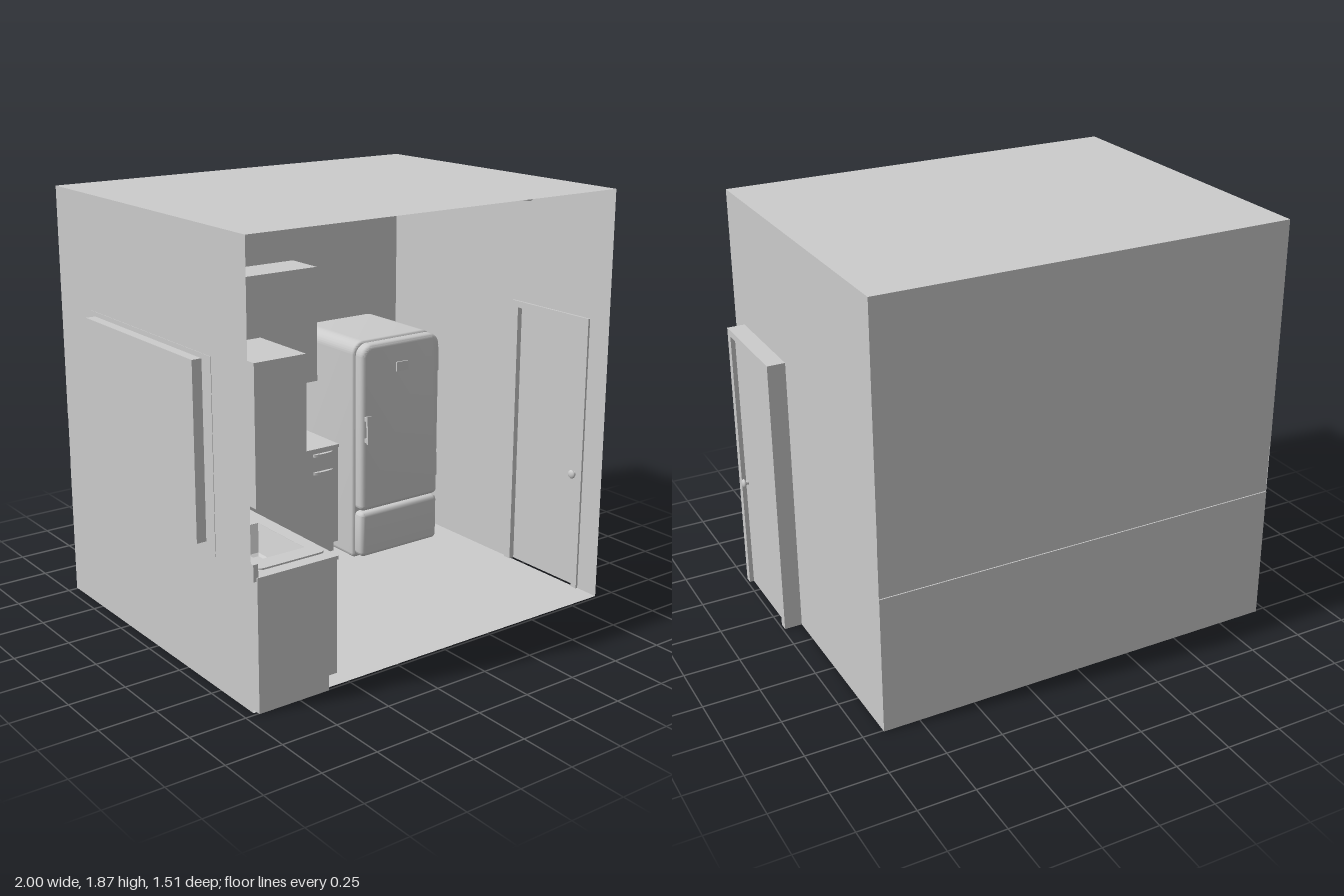
import * as THREE from 'three';
import { toCreasedNormals } from 'three/addons/utils/BufferGeometryUtils.js';

const grey = new THREE.MeshStandardMaterial({ color: 0xcccccc });
const thin = new THREE.MeshStandardMaterial({ color: 0xcccccc, side: THREE.DoubleSide });

function add(parent, name, geo, mat = grey) {
  const mesh = new THREE.Mesh(geo, mat);
  mesh.name = name;
  parent.add(mesh);
  return mesh;
}

// Box given by its limits on each axis
function box(parent, name, x0, x1, y0, y1, z0, z1) {
  const m = add(parent, name, new THREE.BoxGeometry(x1 - x0, y1 - y0, z1 - z0));
  m.position.set((x0 + x1) / 2, (y0 + y1) / 2, (z0 + z1) / 2);
  return m;
}

function cyl(parent, name, r0, r1, h, x, y, z, seg = 24) {
  const m = add(parent, name, new THREE.CylinderGeometry(r0, r1, h, seg));
  m.position.set(x, y, z);
  return m;
}

const poly = pts => new THREE.Shape(pts.map(p => new THREE.Vector2(...p)));
const rectPts = (x0, x1, y0, y1) => [[x0, y0], [x1, y0], [x1, y1], [x0, y1]];

// Rectangle with an optional rectangular hole
function rect(outer, hole) {
  const s = poly(rectPts(...outer));
  if (hole) s.holes.push(poly(rectPts(...hole)));
  return s;
}

// Rectangle with separate top and bottom corner radii
function rounded(x0, x1, y0, y1, rt, rb) {
  const s = new THREE.Shape();
  s.absarc(x1 - rb, y0 + rb, rb, -Math.PI / 2, 0);
  s.absarc(x1 - rt, y1 - rt, rt, 0, Math.PI / 2);
  s.absarc(x0 + rt, y1 - rt, rt, Math.PI / 2, Math.PI);
  s.absarc(x0 + rb, y0 + rb, rb, Math.PI, Math.PI * 1.5);
  return s;
}

const slab = (shape, depth) =>
  new THREE.ExtrudeGeometry(shape, { depth, bevelEnabled: false, curveSegments: 8 });

// Side shapes are drawn in (-z, y) and stand at x; plan shapes in (x, -z) and lie at y
const onSide = (geo, x) => geo.rotateY(Math.PI / 2).translate(x, 0, 0);
const onPlan = (geo, y) => geo.rotateX(-Math.PI / 2).translate(0, y, 0);

function buildRoom(g) {
  const [x0, x1, top, z0, z1] = [-0.955, 0.91, 1.865, -0.75, 0.735];
  const plan = () => new THREE.ShapeGeometry(rect([x0, x1, -z1, 0.755]));
  add(g, 'floor', onPlan(plan(), 0), thin);
  add(g, 'ceiling', onPlan(plan(), top), thin);
  add(g, 'leftWall', onSide(new THREE.ShapeGeometry(
    rect([-z1, 0.755, 0, top], [-0.485, 0.475, 0.565, 1.37])), x0), thin);
  add(g, 'rightWall', onSide(new THREE.ShapeGeometry(
    rect([-z1, 0.755, 0, top], [-0.6, -0.15, 0, 1.26])), x1), thin);
  // Back wall with a shallow band set in between counter and cupboards
  box(g, 'backWallLower', x0, x1, 0, 0.62, -0.757, z0);
  box(g, 'backWallBand', x0, x1, 0.62, 0.84, z0 - 0.002, z0);
  box(g, 'backWallUpper', x0, x1, 0.84, top, -0.757, z0);
}

function buildWindow(g) {
  add(g, 'windowCasing', onSide(slab(
    rect([-0.485, 0.475, 0.565, 1.37], [-0.39, 0.41, 0.645, 1.315]), 0.022), -0.957));
  add(g, 'windowFrame', onSide(slab(
    rect([-0.42, 0.44, 0.61, 1.35], [-0.39, 0.41, 0.645, 1.315]), 0.045), -1));
  box(g, 'windowPane', -1, -0.99, 0.61, 1.35, -0.44, 0.42);
  box(g, 'windowMullion', -0.99, -0.945, 0.645, 1.315, -0.03, 0.01);
  for (const c of [-0.21, 0.19]) {
    add(g, 'windowSash', onSide(slab(
      rect([c - 0.18, c + 0.18, 0.65, 1.31], [c - 0.14, c + 0.14, 0.69, 1.27]), 0.025), -0.985));
  }
}

function buildDoor(g) {
  const frame = poly([[-0.62, 0], [-0.585, 0], [-0.585, 1.25], [-0.17, 1.25],
    [-0.17, 0], [-0.13, 0], [-0.13, 1.28], [-0.62, 1.28]]);
  add(g, 'doorFrame', onSide(slab(frame, 0.09), 0.9));
  box(g, 'doorPanel', 0.925, 0.97, 0, 1.25, 0.17, 0.585);
  for (const [x, s] of [[0.97, 1], [0.925, -1]]) {
    cyl(g, 'knobStem', 0.009, 0.009, 0.02, x + s * 0.008, 0.54, 0.555, 12).rotation.z = Math.PI / 2;
    const knob = add(g, 'doorKnob', new THREE.SphereGeometry(0.02, 16, 12));
    knob.scale.x = 0.5;
    knob.position.set(x + s * 0.02, 0.54, 0.555);
  }
}

// L-shaped plan of the kitchen run; sx and sz are its inner front lines
function runPlan(sx, sz, sinkHole) {
  const s = poly([[-0.94, -0.755], [sx, -0.755], [sx, -sz], [0.27, -sz], [0.27, 0.75], [-0.94, 0.75]]);
  if (sinkHole) s.holes.push(poly(rectPts(-0.85, -0.63, -0.62, -0.29)));
  return s;
}

function buildCabinets(g) {
  add(g, 'toeKick', onPlan(slab(runPlan(-0.61, -0.42), 0.065), 0));
  add(g, 'baseCabinets', onPlan(slab(runPlan(-0.57, -0.38, true), 0.485), 0.065));
  add(g, 'countertop', onPlan(slab(runPlan(-0.562, -0.372, true), 0.015), 0.55));
  box(g, 'backSplashLeft', -0.954, -0.932, 0.55, 0.62, -0.75, 0.75);
  box(g, 'backSplashBack', -0.94, 0.27, 0.55, 0.62, -0.75, -0.728);
  box(g, 'wallCabinetFront', -0.94, -0.71, 0.84, 1.4, 0.45, 0.755);
  box(g, 'wallCabinetBack', -0.94, 0.27, 0.84, 1.4, -0.75, -0.55);
  // Crescent drawer pulls on both runs
  const pull = new THREE.CylinderGeometry(0.057, 0.057, 0.014, 14, 1, false, -Math.PI / 2, Math.PI)
    .scale(1, 1, 0.32);
  for (const y of [0.53, 0.44]) {
    for (const x of [-0.465, -0.25, -0.03, 0.18]) {
      add(g, 'drawerPull', pull, thin).position.set(x, y, -0.38);
    }
    for (const z of [0.64, 0.42, 0.17, -0.06, -0.27]) {
      const m = add(g, 'drawerPull', pull, thin);
      m.position.set(-0.57, y, z);
      m.rotation.y = Math.PI / 2;
    }
  }
}

function buildSink(g) {
  const rim = rounded(-0.9, -0.58, -0.7, -0.21, 0.03, 0.03);
  rim.holes.push(poly(rectPts(-0.85, -0.63, -0.62, -0.29)));
  add(g, 'sinkRim', onPlan(slab(rim, 0.008), 0.564));
  // Four-sided tapered basin
  const q = Math.SQRT2;
  const basin = new THREE.LatheGeometry([[0.001, -0.12], [0.68 * q, -0.12], [0.76 * q, -0.11], [q, 0]]
    .map(p => new THREE.Vector2(...p)), 4).rotateY(Math.PI / 4).scale(0.11, 1, 0.165);
  add(g, 'sinkBasin', toCreasedNormals(basin, 0.4), thin).position.set(-0.74, 0.571, 0.455);
  cyl(g, 'sinkDrain', 0.022, 0.022, 0.004, -0.74, 0.454, 0.455);
  // Tap
  cyl(g, 'tapBase', 0.018, 0.02, 0.012, -0.873, 0.578, 0.455);
  cyl(g, 'tapPost', 0.011, 0.011, 0.11, -0.873, 0.63, 0.455);
  box(g, 'tapSpout', -0.873, -0.785, 0.655, 0.665, 0.447, 0.463);
  cyl(g, 'tapNozzle', 0.006, 0.006, 0.015, -0.79, 0.652, 0.455, 12);
  box(g, 'tapLever', -0.885, -0.835, 0.685, 0.693, 0.45, 0.46);
}

function buildHob(g) {
  add(g, 'hobPlate', onPlan(slab(rounded(-0.9, -0.58, -0.07, 0.36, 0.04, 0.04), 0.01), 0.564));
  for (const x of [-0.82, -0.665]) for (const z of [-0.04, -0.25]) {
    cyl(g, 'burnerBase', 0.038, 0.042, 0.008, x, 0.577, z);
    cyl(g, 'burnerCap', 0.024, 0.026, 0.008, x, 0.583, z);
    const ring = add(g, 'grateRing', new THREE.TorusGeometry(0.052, 0.005, 6, 24));
    ring.rotation.x = Math.PI / 2;
    ring.position.set(x, 0.588, z);
    for (let i = 0; i < 4; i++) {
      const a = Math.PI / 4 + i * Math.PI / 2;
      const bar = add(g, 'grateBar', new THREE.BoxGeometry(0.07, 0.009, 0.009));
      bar.position.set(x + Math.cos(a) * 0.058, 0.588, z - Math.sin(a) * 0.058);
      bar.rotation.y = a;
    }
    add(g, 'grateFrame', onPlan(slab(rect([x - 0.072, x + 0.072, -z - 0.095, -z + 0.095],
      [x - 0.063, x + 0.063, -z - 0.086, -z + 0.086]), 0.012), 0.574));
  }
}

function buildFridge(g) {
  const soft = (shape, depth, b) => toCreasedNormals(new THREE.ExtrudeGeometry(shape,
    { depth, bevelThickness: b, bevelSize: b, bevelOffset: -b, bevelSegments: 4, curveSegments: 10 }), 0.6);
  add(g, 'fridgeBody', soft(rounded(0.29, 0.765, 0, 1.08, 0.06, 0.02), 0.42, 0.015)).position.z = -0.72;
  add(g, 'fridgeDoor', soft(rounded(0.293, 0.762, 0.255, 1.075, 0.06, 0.025), 0.025, 0.022)).position.z = -0.265;
  add(g, 'fridgeDrawer', soft(rounded(0.293, 0.762, 0.02, 0.247, 0.025, 0.025), 0.025, 0.022)).position.z = -0.265;
  box(g, 'fridgePlate', 0.49, 0.56, 0.925, 0.97, -0.222, -0.21);
  // Upright lever handle
  const lever = poly([[0.305, 0.6], [0.315, 0.6], [0.327, 0.735], [0.3, 0.74]]);
  add(g, 'fridgeHandle', slab(lever, 0.012)).position.z = -0.2;
  for (const y of [0.615, 0.72]) box(g, 'handleMount', 0.306, 0.316, y - 0.01, y + 0.01, -0.23, -0.195);
  for (const y of [0.94, 0.4]) box(g, 'fridgeHinge', 0.755, 0.772, y - 0.06, y + 0.06, -0.275, -0.24);
}

function buildLights(g) {
  const bowl = [[0.001, 1.75], [0.07, 1.755], [0.135, 1.772], [0.19, 1.797], [0.23, 1.828],
    [0.245, 1.84], [0.245, 1.852], [0.225, 1.852]].map(p => new THREE.Vector2(...p));
  add(g, 'lampBowl', toCreasedNormals(new THREE.LatheGeometry(bowl, 48), 0.6), thin).position.x = -0.07;
  cyl(g, 'lampMount', 0.05, 0.05, 0.03, -0.07, 1.85, 0);
  for (const x of [-0.745, 0.7]) for (const z of [-0.4, 0.4]) {
    cyl(g, 'spotlight', 0.033, 0.033, 0.065, x, 1.828, z);
    cyl(g, 'spotlightFlange', 0.05, 0.05, 0.005, x, 1.861, z);
  }
}

export function createModel() {
  const model = new THREE.Group();
  model.name = 'kitchen';
  const parts = { room: buildRoom, window: buildWindow, door: buildDoor, cabinets: buildCabinets,
    sink: buildSink, hob: buildHob, fridge: buildFridge, lights: buildLights };
  for (const [name, build] of Object.entries(parts)) {
    const group = new THREE.Group();
    group.name = name;
    build(group);
    model.add(group);
  }
  return model;
}
